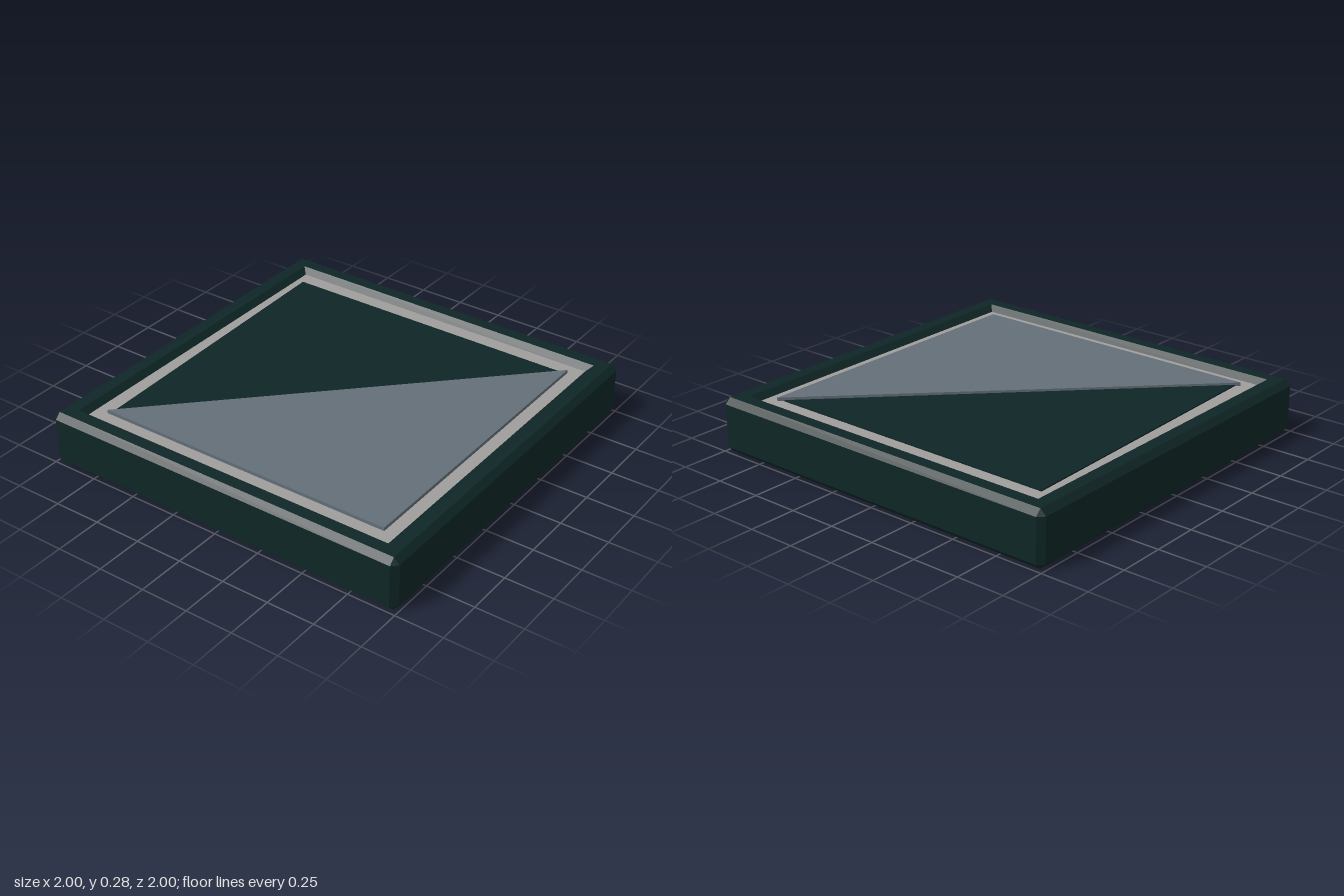
import * as THREE from 'three';

const mat = (color) => new THREE.MeshStandardMaterial({ color, flatShading: true });

// Square outline of half size h with corners cut by c
function ring(h, c, y) {
  const k = h - c;
  return [[h, -k], [h, k], [k, h], [-k, h], [-h, k], [-h, -k], [-k, -h], [k, -h]]
    .map(([x, z]) => new THREE.Vector3(x, y, z));
}

// Skin joining successive rings, skipping collapsed triangles
function loft(rings) {
  const pts = [];
  const tri = (a, b, c) => {
    if (new THREE.Triangle(a, b, c).getArea() > 1e-7) pts.push(a, b, c);
  };
  for (let r = 0; r < rings.length - 1; r++) {
    for (let i = 0; i < 8; i++) {
      const j = (i + 1) % 8;
      const [a, b, c, d] = [rings[r][i], rings[r][j], rings[r + 1][j], rings[r + 1][i]];
      tri(a, c, b);
      tri(a, d, c);
    }
  }
  const g = new THREE.BufferGeometry().setFromPoints(pts);
  g.computeVertexNormals();
  return g;
}

// Flat slab from (x, z) corners between two heights
function slab(corners, y0, y1) {
  const shape = new THREE.Shape(corners.map(([x, z]) => new THREE.Vector2(x, -z)));
  const g = new THREE.ExtrudeGeometry(shape, { depth: y1 - y0, bevelEnabled: false });
  return g.rotateX(-Math.PI / 2).translate(0, y0, 0);
}

export function createModel() {
  const group = new THREE.Group();
  const add = (name, geometry, material) => {
    const mesh = new THREE.Mesh(geometry, material);
    mesh.name = name;
    group.add(mesh);
  };
  const dark = mat(0x0f2626);

  // Chamfered outer frame with a bevelled inner lip
  add('frame', loft([
    ring(0.97, 0, 0),
    ring(1, 0.03, 0.03),
    ring(1, 0.03, 0.255),
    ring(0.97, 0, 0.285),
    ring(0.905, 0, 0.285),
    ring(0.875, 0, 0.255),
  ]), dark);

  // Grey core: underside and recessed floor
  add('core', new THREE.BoxGeometry(1.94, 0.255, 1.94).translate(0, 0.1275, 0), mat(0xa09c9c));

  // Two triangular inlays meeting along the diagonal
  add('darkInlay', slab([[-0.83, -0.79], [0.78, -0.79], [-0.79, 0.79]], 0.25, 0.262), dark);
  add('lightInlay', slab([[0.81, -0.81], [0.81, 0.81], [-0.81, 0.81]], 0.25, 0.273), mat(0x636f78));

  return group;
}
